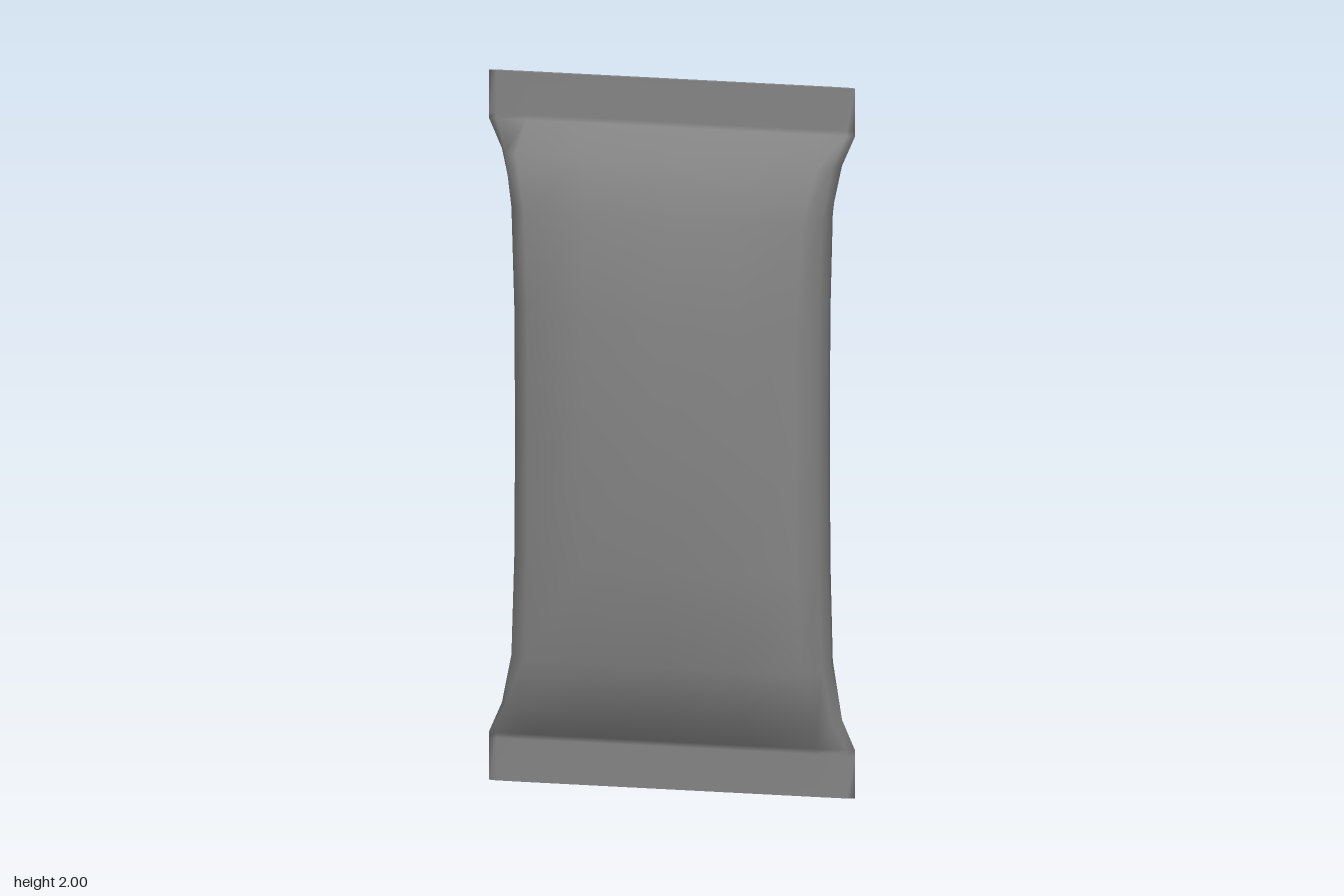
import * as THREE from 'three';

const SEAM_Z = 0.015;

// Half of the height profile, from the middle up:
// y above middle, edge half width, column x (3), front and back depth, depth share per column (3)
const HALF = [
  [0.00, 0.437, 0.215, 0.38, 0.428, 0.182, 0.215, 0.91, 0.67, 0.35],
  [0.35, 0.439, 0.215, 0.38, 0.430, 0.170, 0.192, 0.95, 0.73, 0.38],
  [0.63, 0.448, 0.215, 0.392, 0.439, 0.132, 0.138, 1.00, 0.84, 0.46],
  [0.78, 0.480, 0.22, 0.425, 0.462, 0.074, 0.076, 1.00, 0.92, 0.58],
  [0.865, 0.517, 0.24, 0.41, 0.495, 0.007, 0.007, 1, 1, 0.8],
  [0.880, 0.517, 0.24, 0.41, 0.495, 0.006, 0.006, 1, 1, 0.8],
  [1.00, 0.517, 0.24, 0.41, 0.495, 0.006, 0.006, 1, 1, 0.8],
];

// Closed cross-section: left edge, across the front, right edge, across the back
function section([dy, w, x1, x2, x3, front, back, f1, f2, f3], sign) {
  const y = 1 + sign * dy;
  const cols = [[x3, f3], [x2, f2], [x1, f1], [0, 1], [-x1, f1], [-x2, f2], [-x3, f3]];
  return [
    [w, y, SEAM_Z],
    ...cols.map(([x, f]) => [x, y, SEAM_Z + front * f]),
    [-w, y, SEAM_Z],
    ...cols.map(([x, f]) => [-x, y, SEAM_Z - back * f]),
  ];
}

function geometryFrom(points, index) {
  const geo = new THREE.BufferGeometry();
  geo.setAttribute('position', new THREE.Float32BufferAttribute(points.flat(), 3));
  geo.setIndex(index);
  geo.computeVertexNormals();
  return geo;
}

function loft(loops) {
  const n = loops[0].length;
  const index = [];
  for (let i = 0; i < loops.length - 1; i++) {
    for (let j = 0; j < n; j++) {
      const k = (j + 1) % n;
      const a = i * n + j, b = i * n + k, c = b + n, d = a + n;
      index.push(a, d, b, b, d, c);
    }
  }
  return geometryFrom(loops.flat(), index);
}

function cap(loop, up) {
  const index = [];
  for (let j = 1; j < loop.length - 1; j++) {
    if (up) index.push(0, j + 1, j);
    else index.push(0, j, j + 1);
  }
  return geometryFrom(loop, index);
}

export function createModel() {
  const group = new THREE.Group();
  group.name = 'pouch';
  const material = new THREE.MeshStandardMaterial({ color: 0x868686 });
  const add = (name, geometry) => {
    const mesh = new THREE.Mesh(geometry, material);
    mesh.name = name;
    group.add(mesh);
  };

  // Mirror the profile about the middle
  const loops = [
    ...HALF.slice(1).reverse().map((r) => section(r, -1)),
    ...HALF.map((r) => section(r, 1)),
  ];

  // Puffed body with the flat seals at both ends
  add('pouchBody', loft(loops));

  // Thin cut edges of the seals
  add('bottomSealEdge', cap(loops[0], false));
  add('topSealEdge', cap(loops[loops.length - 1], true));
  return group;
}
